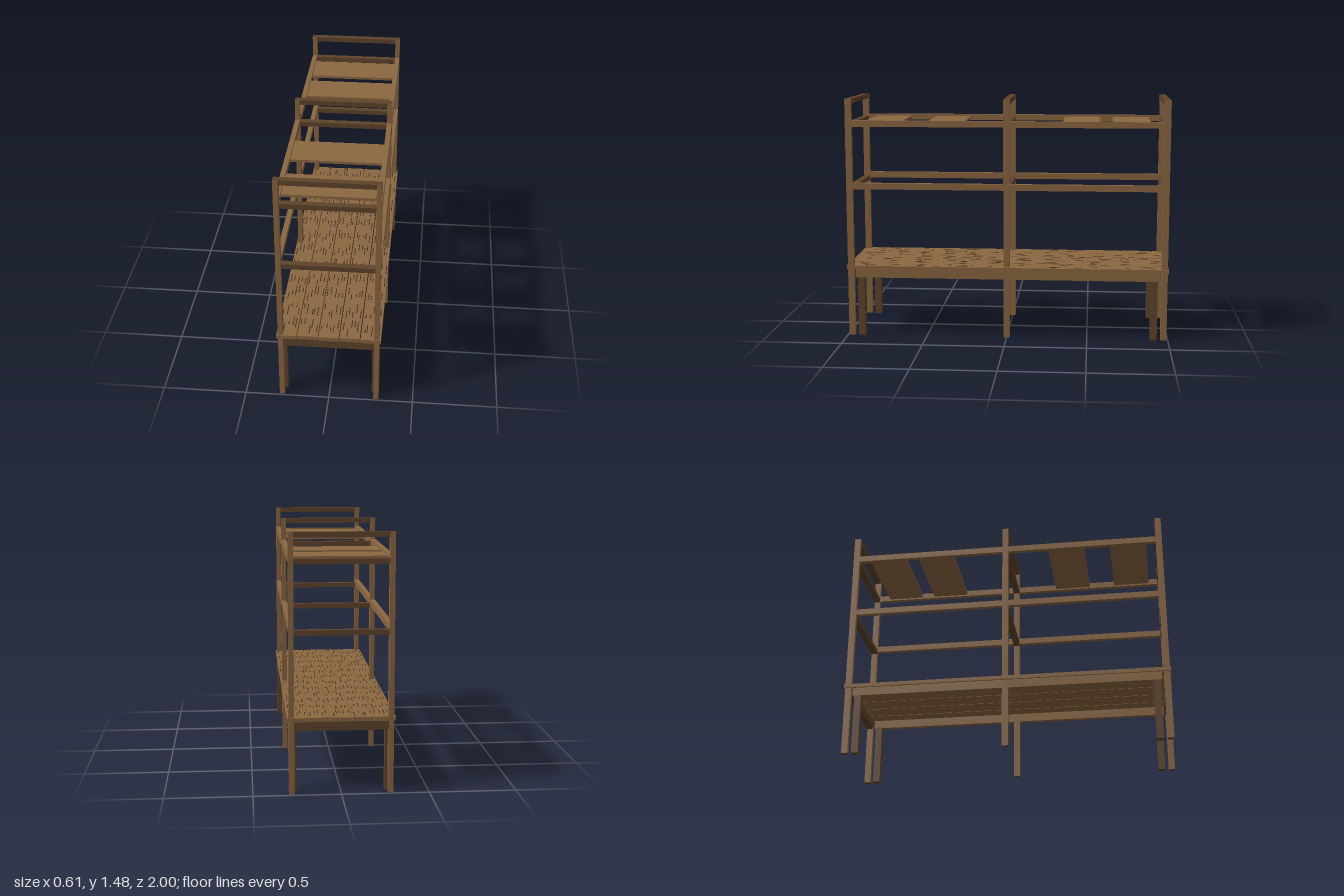
import * as THREE from 'three';
import { mergeGeometries } from 'three/addons/utils/BufferGeometryUtils.js';

const timber = new THREE.MeshStandardMaterial({ color: 0x8b6741 });
timber.name = 'light timber';
const darkTimber = new THREE.MeshStandardMaterial({ color: 0x5f442b });
darkTimber.name = 'dark timber';
const grainBrown = new THREE.MeshStandardMaterial({ color: 0x3d2b1a });
grainBrown.name = 'grain brown';

export function createModel() {
  const model = new THREE.Group();
  model.name = 'deckFrame';

  // Box given by its lower and upper limits on each axis
  function box(name, material, [x0, x1], [y0, y1], [z0, z1]) {
    const mesh = new THREE.Mesh(new THREE.BoxGeometry(x1 - x0, y1 - y0, z1 - z0), material);
    mesh.position.set((x0 + x1) / 2, (y0 + y1) / 2, (z0 + z1) / 2);
    mesh.name = name;
    model.add(mesh);
    return mesh;
  }
  const flip = ([a, b], s) => (s > 0 ? [a, b] : [-b, -a]);

  const postX = [0.266, 0.296];
  const innerX = [-0.266, 0.266];
  const endZ = [0.953, 0.992];
  const midZ = [-0.019, 0.019];
  const bays = [flip(endZ, 1), midZ, flip(endZ, -1)];

  // Posts with dark end grain, and the cross rails of each portal
  const postMaterials = [timber, timber, darkTimber, darkTimber, timber, timber];
  for (const z of bays) {
    for (const s of [1, -1]) box('post', postMaterials, flip(postX, s), [0, 1.482], z);
    for (const y of [[0.911, 0.941], [1.306, 1.336], [1.452, 1.482]]) {
      box('crossRail', darkTimber, innerX, y, z);
    }
  }

  for (const s of [1, -1]) {
    // End apron under the deck
    box('endApron', darkTimber, innerX, [0.37, 0.422], flip(endZ, s));
    for (const t of [1, -1]) {
      const bay = flip([0.019, 0.953], t);
      // Long side rails and apron between the posts
      box('sideRail', timber, flip(postX, s), [0.926, 0.964], bay);
      box('sideRail', timber, flip(postX, s), [1.312, 1.35], bay);
      box('sideApron', timber, flip(postX, s), [0.37, 0.422], flip([0.019, 0.943], t));
      // Short inner legs
      box('innerLeg', darkTimber, flip([0.2525, 0.2955], s), [0, 0.37], flip([0.889, 0.932], t));
    }
  }

  // Roof panels
  for (const z of [[-0.88, -0.65], [-0.57, -0.34], [0.27, 0.5], [0.663, 0.894]]) {
    box('roofPanel', timber, innerX, [1.322, 1.338], z);
  }

  // Deck planks
  const pitch = 0.123, plankWidth = 0.118, deckTop = 0.446;
  let seed = 7;
  const random = () => (seed = (seed * 16807) % 2147483647) / 2147483647;
  const dashes = [];
  for (let i = 0; i < 5; i++) {
    const x = (i - 2) * pitch;
    const length = 0.998 - (i % 2) * 0.004;
    box('plank', timber, [x - plankWidth / 2, x + plankWidth / 2], [0.422, deckTop], [-length, length]);
    // Short grain marks along the plank
    for (let k = 0; k < 5; k++) {
      for (let j = 0; j < 12; j++) {
        const dash = new THREE.PlaneGeometry(0.005, 0.035 + random() * 0.06).rotateX(-Math.PI / 2);
        const dx = (k - 2) * 0.022 + (random() - 0.5) * 0.014;
        dash.translate(x + dx, deckTop + 0.0015, -0.9 + j * 0.1636 + (random() - 0.5) * 0.09);
        dashes.push(dash);
      }
    }
  }
  const grain = new THREE.Mesh(mergeGeometries(dashes), grainBrown);
  grain.name = 'plankGrain';
  model.add(grain);

  return model;
}
